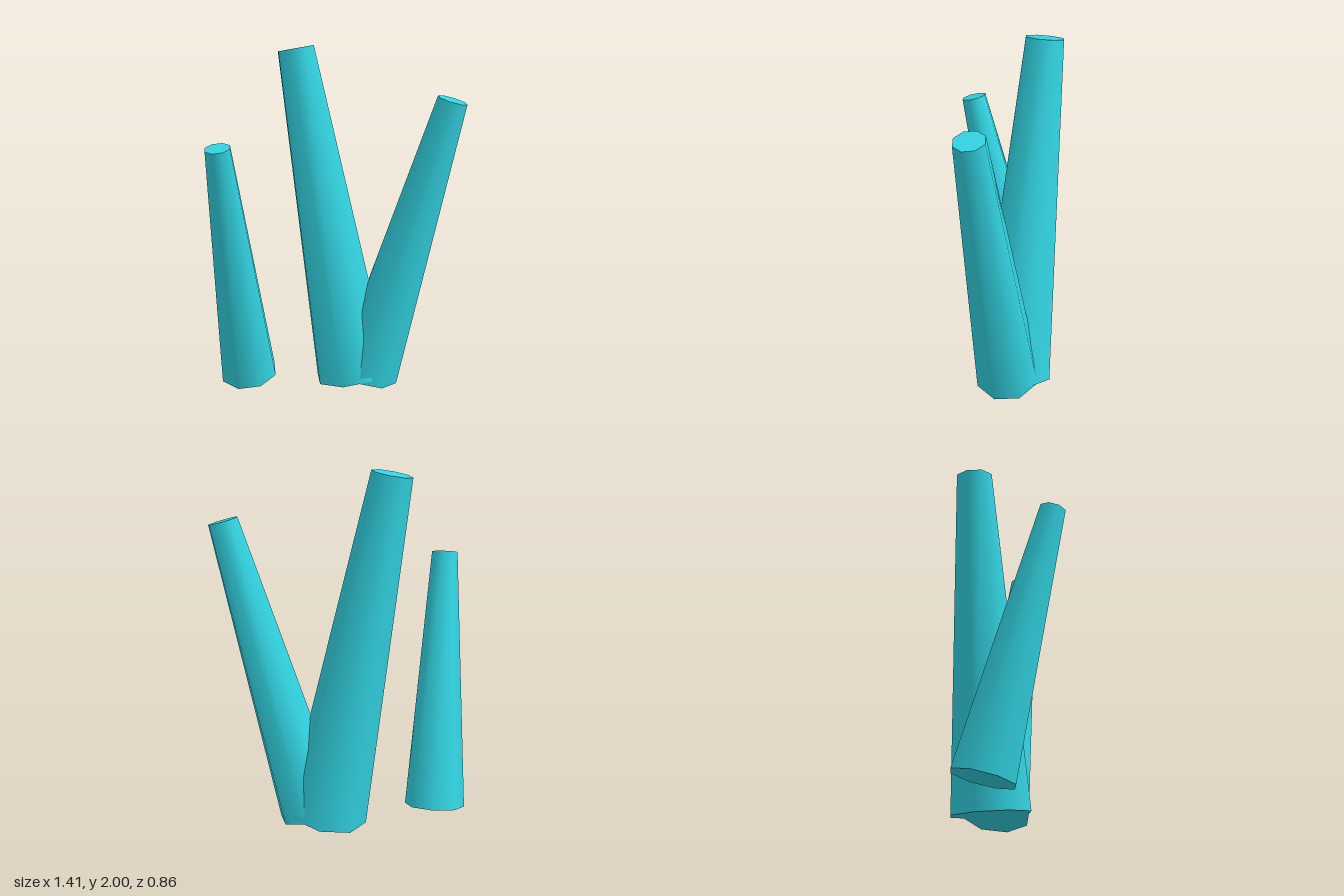
import * as THREE from 'three';

const UP = new THREE.Vector3(0, 1, 0);

// Eight-sided tapered column, capped at both ends, running from base to tip
function spire(name, base, tip, baseRadius, tipRadius, material) {
  const from = new THREE.Vector3(...base);
  const axis = new THREE.Vector3(...tip).sub(from);
  const length = axis.length();
  const geometry = new THREE.CylinderGeometry(tipRadius, baseRadius, length, 8);
  const mesh = new THREE.Mesh(geometry, material);
  mesh.name = name;
  mesh.position.copy(from).addScaledVector(axis, 0.5);
  mesh.quaternion.setFromUnitVectors(UP, axis.normalize());
  return mesh;
}

export function createModel() {
  const crystal = new THREE.MeshStandardMaterial({ color: 0x32d4e2 });
  crystal.name = 'turquoise crystal';

  const group = new THREE.Group();
  group.name = 'crystalCluster';
  group.add(
    // Tallest spire, leaning to the right
    spire('tallSpire', [0.068, 0.045, -0.198], [-0.283, 1.98, -0.198], 0.231, 0.11, crystal),
    // Middle spire, leaning to the left and crossing the tall one at its foot
    spire('middleSpire', [0.152, 0.061, -0.198], [0.623, 1.717, -0.198], 0.19, 0.085, crystal),
    // Short separate spire, leaning forward
    spire('shortSpire', [-0.538, 0.052, -0.009], [-0.538, 1.482, 0.357], 0.172, 0.0735, crystal),
  );
  return group;
}
